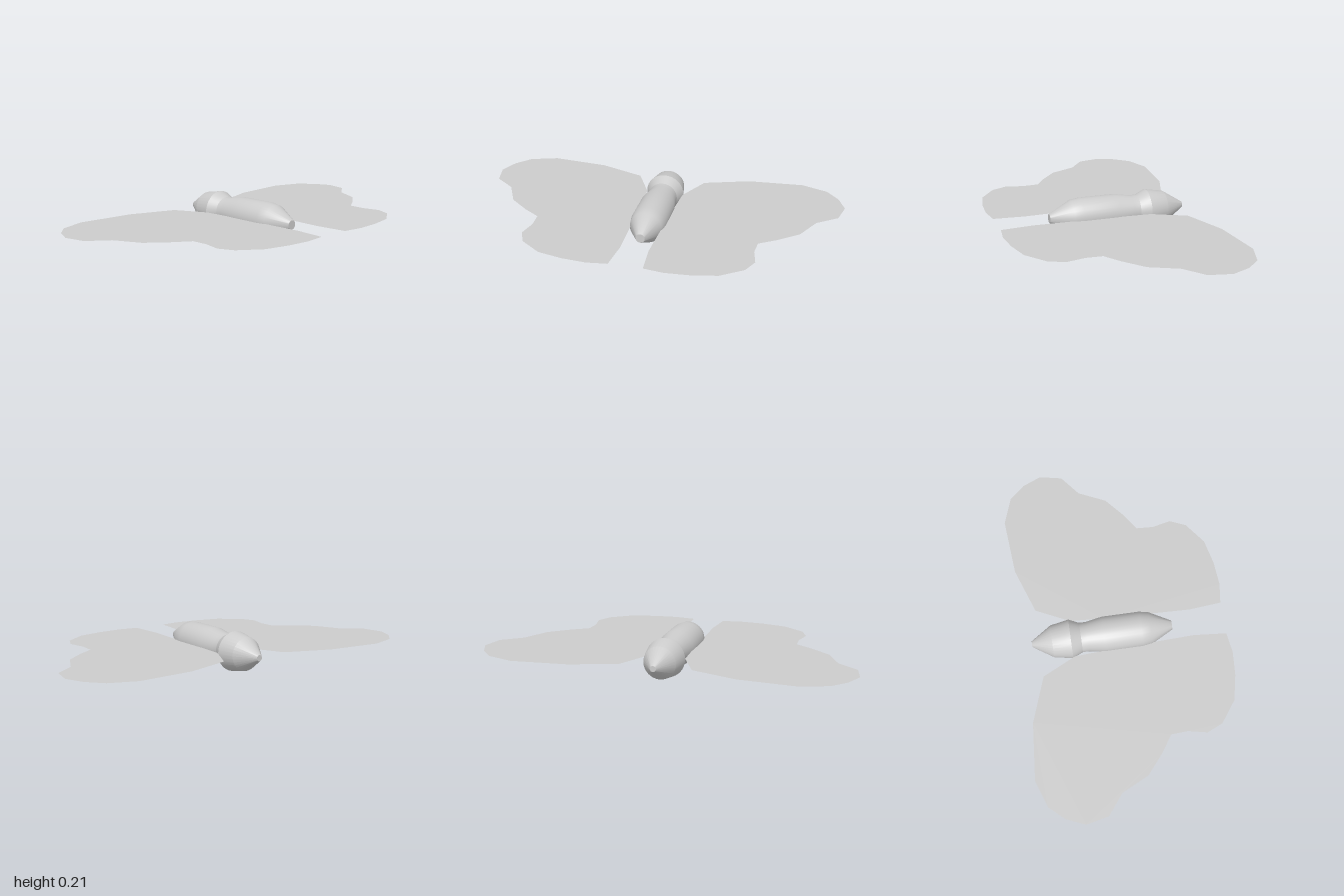
import * as THREE from 'three';
import { toCreasedNormals } from 'three/addons/utils/BufferGeometryUtils.js';

const AXIS_Y = 0.105;

// Body profile: [radius, z], from the head tip to the tail tip
const BODY = [
  [0, -0.5], [0.016, -0.5], [0.087, -0.39], [0.105, -0.29], [0.08, -0.235], [0.08, -0.2],
  [0.096, -0.11], [0.096, 0.09], [0.088, 0.14], [0.025, 0.26], [0, 0.26],
];

// Outline of one wing: [x, z], starting at the front of the root
const WING = [
  [0.102, -0.28], [0.19, -0.46], [0.435, -0.545], [0.74, -0.57], [0.885, -0.52], [0.957, -0.44],
  [1, -0.34], [0.975, -0.22], [0.866, -0.135], [0.797, 0.01], [0.69, 0.1], [0.6, 0.16],
  [0.595, 0.25], [0.617, 0.35], [0.58, 0.435], [0.465, 0.52], [0.33, 0.55], [0.2, 0.56],
  [0.09, 0.545], [0.075, 0.37], [0.083, 0.13], [0.092, -0.1],
];

export function createModel() {
  const model = new THREE.Group();
  model.name = 'butterfly';

  // Body: head, thorax and abdomen turned as one piece along z
  const profile = BODY.map(([r, z]) => new THREE.Vector2(r, z));
  const bodyGeometry = new THREE.LatheGeometry(profile, 32).rotateX(Math.PI / 2);
  const body = new THREE.Mesh(
    toCreasedNormals(bodyGeometry, 0.42),
    new THREE.MeshStandardMaterial({ color: 0xcccccc }),
  );
  body.name = 'body';
  body.position.y = AXIS_Y;
  model.add(body);

  // Flat wings, mirrored across x
  const wingMaterial = new THREE.MeshStandardMaterial({ color: 0xcccccc, side: THREE.DoubleSide });
  for (const [name, side] of [['leftWing', 1], ['rightWing', -1]]) {
    const outline = new THREE.Shape(WING.map(([x, z]) => new THREE.Vector2(side * x, -z)));
    const wing = new THREE.Mesh(new THREE.ShapeGeometry(outline).rotateX(-Math.PI / 2), wingMaterial);
    wing.name = name;
    wing.position.y = AXIS_Y;
    model.add(wing);
  }

  return model;
}
